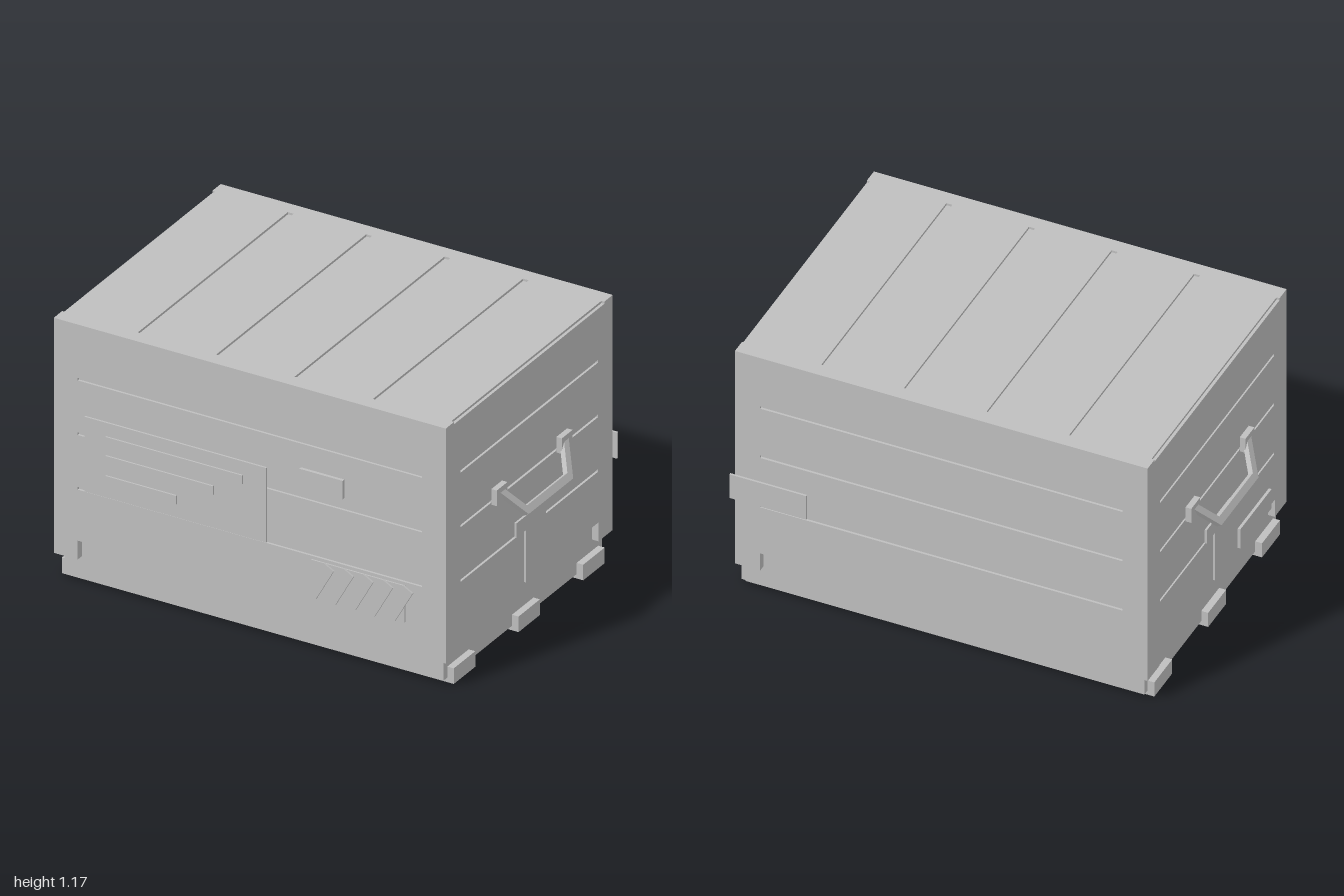
import * as THREE from 'three';

export function createModel() {
  const model = new THREE.Group();
  model.name = 'crate';
  const grey = new THREE.MeshStandardMaterial({ color: 0xbfbfbf });
  grey.name = 'grey';

  const W = 0.9, D = 0.645, TOP = 1.175, LOW = 0.205, SKIN = 0.01;

  function add(name, geometry, parent = model) {
    const mesh = new THREE.Mesh(geometry, grey);
    mesh.name = name;
    parent.add(mesh);
    return mesh;
  }

  // Box given by its minimum and maximum on each axis
  function box(name, [x0, x1], [y0, y1], [z0, z1], parent = model) {
    const g = new THREE.BoxGeometry(x1 - x0, y1 - y0, z1 - z0);
    g.translate((x0 + x1) / 2, (y0 + y1) / 2, (z0 + z1) / 2);
    return add(name, g, parent);
  }

  const rect = (x0, x1, y0, y1) => [[x0, y0], [x1, y0], [x1, y1], [x0, y1]];
  const toVectors = (pts) => pts.map(([x, y]) => new THREE.Vector2(x, y));

  // Thin sheet with slots cut through it
  function sheet(outline, slots, depth = SKIN) {
    const shape = new THREE.Shape(toVectors(outline));
    for (const s of slots) shape.holes.push(new THREE.Path(toVectors(s)));
    return new THREE.ExtrudeGeometry(shape, { depth, bevelEnabled: false });
  }

  // Solid core behind the grooved skin
  box('bodyCore', [-W + SKIN, W - SKIN], [LOW, TOP - SKIN], [-D + SKIN, D - SKIN]);

  // Walls with three horizontal grooves each
  const grooveHeights = [0.44, 0.685, 0.93];
  const wall = (half, slotHalf) => sheet(
    rect(-half, half, LOW, TOP - SKIN),
    grooveHeights.map((y) => rect(-slotHalf, slotHalf, y - 0.006, y + 0.006)));
  for (const [name, angle] of [['frontWall', 0], ['backWall', Math.PI]]) {
    add(name, wall(W, 0.79).translate(0, 0, D - SKIN).rotateY(angle));
  }
  for (const [name, angle] of [['leftWall', Math.PI / 2], ['rightWall', -Math.PI / 2]]) {
    add(name, wall(D - SKIN, 0.53).translate(0, 0, W - SKIN).rotateY(angle));
  }

  // Lid with four grooves and a shallow notch along each side
  const lidOutline = [
    [-W, -D], [W, -D], [W, -0.58], [W - 0.013, -0.58], [W - 0.013, 0.58], [W, 0.58],
    [W, D], [-W, D], [-W, 0.58], [-W + 0.013, 0.58], [-W + 0.013, -0.58], [-W, -0.58]];
  const lidSlots = [-0.54, -0.18, 0.18, 0.54].map((x) => rect(x - 0.013, x + 0.013, -0.58, 0.58));
  add('lid', sheet(lidOutline, lidSlots).rotateX(-Math.PI / 2).translate(0, TOP - SKIN, 0));

  // Recessed base, corner feet and skids
  box('base', [-0.87, 0.87], [0.02, LOW + 0.01], [-0.612, 0.612]);
  for (const sx of [-1, 1]) for (const sz of [-1, 1]) {
    const g = new THREE.BoxGeometry(0.11, LOW - 0.12, 0.11);
    g.translate(sx * (W - 0.055), (LOW + 0.12) / 2, sz * (D - 0.055));
    add('cornerFoot', g);
  }
  for (const z of [-0.5, 0, 0.5]) box('skid', [-W, W], [0, 0.07], [z - 0.083, z + 0.083]);

  // Side fittings: T-shaped strap and a hanging handle
  function sideFittings(name) {
    const side = new THREE.Group();
    side.name = name;
    const strap = [[-0.04, LOW], [0.04, LOW], [0.04, 0.44], [0.115, 0.44],
      [0.115, 0.505], [-0.115, 0.505], [-0.115, 0.44], [-0.04, 0.44]];
    add('sideStrap', sheet(strap, [], 0.009).rotateY(Math.PI / 2).translate(W, 0, 0), side);
    for (const s of [-1, 1]) {
      const z = [s * 0.21, s * 0.293].sort((a, b) => a - b);
      box('handlePad', [W - 0.005, 0.925], [0.67, 0.74], z, side);
    }
    const bar = [[-0.172, 0.016], [0.172, 0.016], [0.268, -0.13], [0.232, -0.13],
      [0.156, -0.016], [-0.156, -0.016], [-0.232, -0.13], [-0.268, -0.13]];
    const g = sheet(bar, [], 0.024).translate(0, 0, -0.012);
    const down = new THREE.Vector3(0.07, -0.11, 0).normalize();
    const across = new THREE.Vector3(0, 0, 1);
    const out = across.clone().cross(down);
    g.applyMatrix4(new THREE.Matrix4().makeBasis(across, down, out));
    add('handleBar', g.translate(0.981, 0.606, 0), side);
    model.add(side);
    return side;
  }
  sideFittings('leftSide');
  sideFittings('rightSide').rotation.y = Math.PI;

  // Front label with three raised lines
  box('labelPlate', [-0.755, 0.08], [0.44, 0.775], [D, D + 0.008]);
  [[-0.027, 0.715], [-0.16, 0.63], [-0.33, 0.54]].forEach(([x, y]) =>
    box('labelLine', [-0.655, x], [y - 0.04, y], [D + 0.008, D + 0.015]));
  box('smallPlate', [0.235, 0.435], [0.735, 0.818], [D, D + 0.014]);

  // Slanted bars on a backing plate
  box('stripeBacking', [0.285, 0.715], [0.257, 0.42], [D, D + 0.006]);
  for (let i = 0; i < 5; i++) {
    const stripe = add('slantedStripe', new THREE.BoxGeometry(0.051, 0.17, 0.009));
    stripe.position.set(0.329 + i * 0.0905, 0.3375, D + 0.0095);
    stripe.rotation.z = -0.506;
  }

  // Plates on the back and the right side
  box('backPlate', [0.585, 0.92], [0.445, 0.562], [-D - 0.009, -D]);
  box('sidePlate', [-W - 0.012, -W], [LOW, 0.3], [0.19, 0.48]);

  model.position.z = -0.0025;
  const root = new THREE.Group();
  root.name = 'storageCrate';
  root.add(model);
  return root;
}
